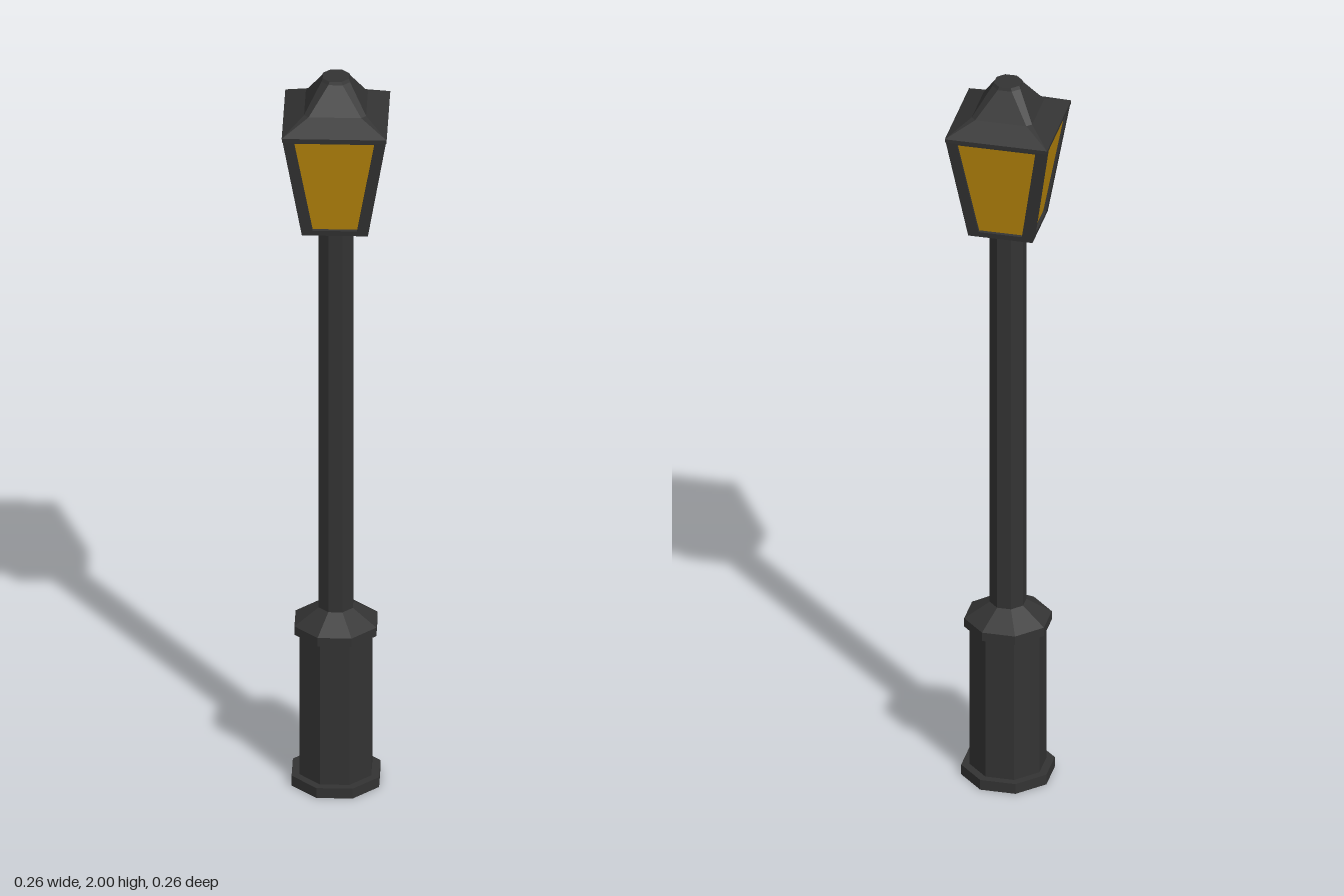
import * as THREE from 'three';

const iron = new THREE.MeshStandardMaterial({ color: 0x333333, flatShading: true });
const amber = new THREE.MeshStandardMaterial({ color: 0xb8860b, flatShading: true });

function add(group, name, geometry, material = iron) {
  const mesh = new THREE.Mesh(geometry, material);
  mesh.name = name;
  group.add(mesh);
  return mesh;
}

// Octagonal turned part with flats facing the axes; profile is [apothem, y] from bottom to top
function octagon(profile) {
  const points = profile.map(([a, y]) => new THREE.Vector2(a / Math.cos(Math.PI / 8), y));
  return new THREE.LatheGeometry(points, 8, Math.PI / 8);
}

// Closed loft through chamfered squares; each ring is [half width, chamfer, y], bottom to top
function squareLoft(rings) {
  const pos = [], index = [];
  for (const [h, c, y] of rings) {
    const k = h - c;
    for (const [x, z] of [[k, h], [h, k], [h, -k], [k, -h], [-k, -h], [-h, -k], [-h, k], [-k, h]]) pos.push(x, y, z);
  }
  for (let r = 0; r < rings.length - 1; r++) {
    for (let i = 0; i < 8; i++) {
      const a = r * 8 + i, b = r * 8 + (i + 1) % 8;
      index.push(a, b, b + 8, a, b + 8, a + 8);
    }
  }
  const top = (rings.length - 1) * 8;
  for (let i = 1; i < 7; i++) index.push(0, i + 1, i, top, top + i, top + i + 1);
  const g = new THREE.BufferGeometry();
  g.setAttribute('position', new THREE.Float32BufferAttribute(pos, 3));
  g.setIndex(index);
  g.computeVertexNormals();
  return g;
}

export function createModel() {
  const model = new THREE.Group();
  model.name = 'streetLamp';

  // Post
  add(model, 'foot', octagon([[0, 0], [0.11, 0], [0.11, 0.028], [0, 0.028]]));
  add(model, 'pedestal', octagon([[0.09, 0.02], [0.09, 0.44]]));
  add(model, 'collar', octagon([[0, 0.428], [0.103, 0.428], [0.103, 0.452], [0.043, 0.494], [0, 0.494]]));
  add(model, 'pole', octagon([[0.043, 0.48], [0.043, 1.6]]));

  // Lantern
  const lantern = new THREE.Group();
  lantern.name = 'lantern';
  model.add(lantern);
  const y0 = 1.588, y1 = 1.885, h0 = 0.083, h1 = 0.131;
  add(lantern, 'lanternFloor', squareLoft([[h0, 0, y0], [h0 + 0.002, 0, y0 + 0.014]]));
  add(lantern, 'glass', squareLoft([[h0 - 0.006, 0, y0 + 0.01], [h1 - 0.006, 0, y1 - 0.005]]), amber);

  // Four tilted frames around the glass
  const tilt = Math.atan2(h1 - h0, y1 - y0);
  const len = Math.hypot(h1 - h0, y1 - y0);
  const trapezoid = (Type, a, b, low, high) => new Type([
    new THREE.Vector2(-a, low), new THREE.Vector2(a, low),
    new THREE.Vector2(b, high), new THREE.Vector2(-b, high)]);
  const outline = trapezoid(THREE.Shape, h0, h1, 0, len);
  outline.holes.push(trapezoid(THREE.Path, 0.056, 0.101, 0.015, len - 0.012));
  const frame = new THREE.ExtrudeGeometry(outline, { depth: 0.012, bevelEnabled: false });
  frame.translate(0, 0, -0.012).rotateX(tilt).translate(0, y0, h0);
  for (let i = 0; i < 4; i++) {
    add(lantern, 'windowFrame', frame).rotation.y = i * Math.PI / 2;
  }

  // Roof sweeping up from a square eave to an octagonal cap
  add(lantern, 'roof', squareLoft([
    [0.131, 0, 1.878], [0.132, 0, 1.888], [0.078, 0.012, 1.922], [0.036, 0.018, 1.992], [0.033, 0.018, 2],
  ]));
  return model;
}
